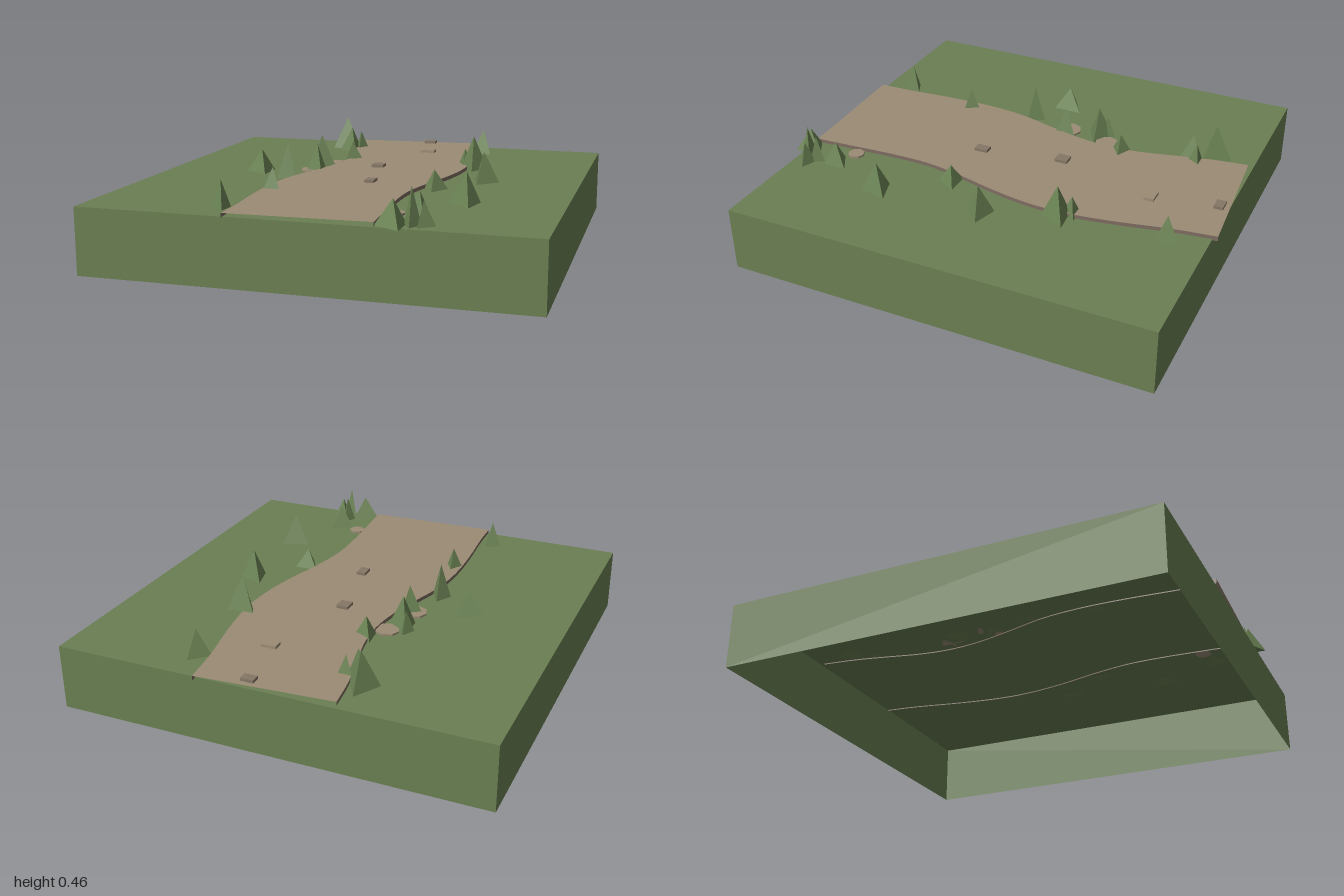
import * as THREE from 'three';

const mat = (name, color) => new THREE.MeshStandardMaterial({ name, color, flatShading: true, side: THREE.DoubleSide });

export function createModel() {
  const group = new THREE.Group();
  const grass = mat('grass green', 0x6a7f52);
  const foliage = mat('tree green', 0x6c8455);
  const sand = mat('path tan', 0x9c8c76);
  const edge = mat('path edge brown', 0x7f6d62);
  const stone = mat('stone brown', 0x857766);

  const add = (name, geometry, material, x = 0, y = 0, z = 0) => {
    const mesh = new THREE.Mesh(geometry, material);
    mesh.name = name;
    mesh.position.set(x, y, z);
    group.add(mesh);
    return mesh;
  };

  // Ground block: a box shell open underneath
  const TOP = 0.293;
  const box = new THREE.BoxGeometry(1.93, TOP, 1.93);
  const index = Array.from(box.index.array);
  index.splice(18, 6);
  box.setIndex(index);
  box.clearGroups();
  add('ground', box, grass, 0, TOP / 2, -0.0125);

  // Winding path: a strip between two smooth edges, open at its ends
  const curve = pts => new THREE.CatmullRomCurve3(pts.map(([x, z]) => new THREE.Vector3(x, 0, z)));
  const N = 32;
  const left = curve([[-0.31, -0.957], [-0.29, -0.8], [-0.255, -0.64], [-0.218, -0.48], [-0.205, -0.33],
    [-0.22, -0.18], [-0.265, 0], [-0.315, 0.18], [-0.335, 0.38], [-0.33, 0.6], [-0.315, 0.8], [-0.31, 0.962]]).getPoints(N);
  const right = curve([[0.302, -1], [0.325, -0.82], [0.37, -0.6], [0.398, -0.42], [0.405, -0.3],
    [0.395, -0.16], [0.365, 0], [0.318, 0.18], [0.285, 0.36], [0.282, 0.54], [0.295, 0.76], [0.305, 0.942]]).getPoints(N);
  const strip = (a, ya, b, yb) => {
    const pos = [], idx = [];
    for (let i = 0; i <= N; i++) {
      pos.push(a[i].x, ya, a[i].z, b[i].x, yb, b[i].z);
      if (i < N) idx.push(2 * i, 2 * i + 2, 2 * i + 1, 2 * i + 1, 2 * i + 2, 2 * i + 3);
    }
    const g = new THREE.BufferGeometry();
    g.setAttribute('position', new THREE.Float32BufferAttribute(pos, 3));
    g.setIndex(idx);
    g.computeVertexNormals();
    return g;
  };
  const ROAD = 0.31, LOW = 0.288;
  add('pathTop', strip(left, ROAD, right, ROAD), sand);
  add('pathLeftEdge', strip(right, ROAD, right, LOW), edge);
  add('pathRightEdge', strip(left, LOW, left, ROAD), edge);

  // Flat stones on the path: x, z, width, depth
  [[0.077, -0.94, 0.058, 0.042, stone], [0.133, -0.65, 0.07, 0.045, sand],
    [0.004, -0.18, 0.055, 0.06, stone], [0.073, 0.193, 0.042, 0.064, stone]]
    .forEach(([x, z, w, d, m]) => add('steppingStone', new THREE.BoxGeometry(w, 0.013, d), m, x, 0.318, z));

  // Bare patches beside the path: x, z, radius
  [[-0.25, -0.295, 0.055], [-0.295, -0.085, 0.058], [0.332, 0.715, 0.038]]
    .forEach(([x, z, r]) => add('barePatch', new THREE.CylinderGeometry(r, r, 0.009, 8), sand, x, TOP + 0.0045, z));

  // Three-sided trees: x, z, radius, height, turn in degrees
  const trees = [
    [-0.34, -0.79, 0.08, 0.165, 180], [-0.29, -0.70, 0.065, 0.12, -90], [-0.25, -0.73, 0.042, 0.1, 120],
    [0.39, -0.81, 0.062, 0.12, -76], [-0.19, -0.385, 0.056, 0.1, 95], [0.43, -0.34, 0.075, 0.16, 5],
    [0.38, -0.385, 0.045, 0.09, 0], [-0.30, -0.235, 0.068, 0.15, 90], [-0.325, -0.27, 0.038, 0.1, 60],
    [-0.27, -0.08, 0.058, 0.13, -85], [-0.518, 0.005, 0.076, 0.108, -90], [0.54, -0.025, 0.07, 0.14, 104],
    [-0.345, 0.115, 0.05, 0.165, 180], [0.365, 0.2, 0.062, 0.09, 0], [-0.295, 0.44, 0.048, 0.11, 180],
    [0.56, 0.46, 0.075, 0.14, -102], [0.435, 0.75, 0.064, 0.11, -90], [-0.375, 0.81, 0.046, 0.12, -95],
    [0.375, 0.925, 0.075, 0.11, -90], [0.445, 0.85, 0.038, 0.12, 180], [0.485, 0.885, 0.047, 0.1, 100],
    [0.44, 0.895, 0.04, 0.155, 0],
  ];
  for (const [x, z, r, h, turn] of trees) {
    const tree = add('tree', new THREE.ConeGeometry(r, h, 3), foliage, x, TOP + h / 2, z);
    tree.rotation.y = THREE.MathUtils.degToRad(turn);
  }
  return group;
}
